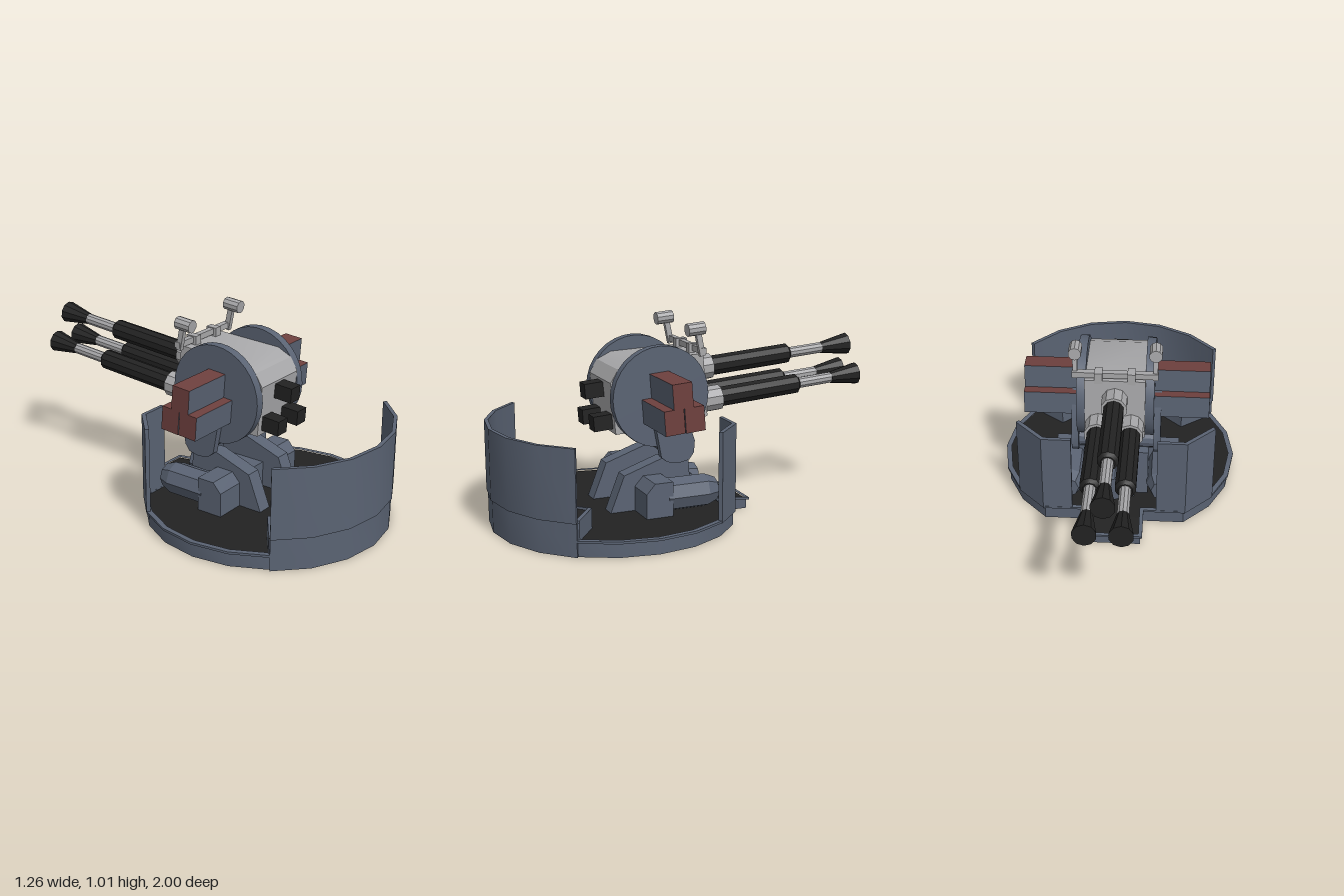
import * as THREE from 'three';
import { toCreasedNormals } from 'three/addons/utils/BufferGeometryUtils.js';

const paint = (name, hex) => Object.assign(new THREE.MeshStandardMaterial({ color: hex }), { name });

export function createModel() {
  const steel = paint('blue grey steel', 0x5a6373);
  const light = paint('light grey metal', 0xa8a8aa);
  const dark = paint('near black', 0x222222);
  const red = paint('dull red', 0x6e403e);
  const root = new THREE.Group();

  const add = (name, geo, mat, parent = root) => {
    const mesh = new THREE.Mesh(toCreasedNormals(geo, 0.5), mat);
    mesh.name = name;
    parent.add(mesh);
    return mesh;
  };
  const box = (name, w, h, d, x, y, z, mat, parent) =>
    add(name, new THREE.BoxGeometry(w, h, d).translate(x, y, z), mat, parent);
  const shapeOf = pts => new THREE.Shape(pts.map(p => new THREE.Vector2(p[0], p[1])));

  // Extrude a plan outline [x, z] upward from y0 to y1
  const plan = (pts, y0, y1, hole) => {
    const s = shapeOf(pts.map(([x, z]) => [x, -z]));
    if (hole) s.holes.push(shapeOf(hole.map(([x, z]) => [x, -z])));
    return new THREE.ExtrudeGeometry(s, { depth: y1 - y0, bevelEnabled: false })
      .rotateX(-Math.PI / 2).translate(0, y0, 0);
  };
  // Extrude a side outline [z, y] across from x0 to x1
  const side = (pts, x0, x1) =>
    new THREE.ExtrudeGeometry(shapeOf(pts.map(([z, y]) => [-z, y])), { depth: x1 - x0, bevelEnabled: false })
      .rotateY(Math.PI / 2).translate(x0, 0, 0);
  // Cylinder along z; the first radius is at the rear
  const rod = (rRear, rFront, z0, z1, sides = 10) =>
    new THREE.CylinderGeometry(rRear, rFront, z0 - z1, sides)
      .rotateX(-Math.PI / 2).translate(0, 0, (z0 + z1) / 2);

  // Twenty-sided platform outline
  const CZ = 0.36;
  const arc = (r, from, to) => {
    const pts = [];
    for (let a = from; a <= to; a += 18) {
      const t = THREE.MathUtils.degToRad(a);
      pts.push([r * Math.cos(t), CZ + r * Math.sin(t)]);
    }
    return pts;
  };
  const outline = (r, w, back) => {
    const ring = arc(r, -54, 234);
    const z = ring[0][1];
    return [...ring, [-w, z], [-w, back], [w, back], [w, z]];
  };
  // The rear step slopes gently down
  const slope = geo => {
    const p = geo.attributes.position;
    for (let i = 0; i < p.count; i++) {
      if (p.getZ(i) < -0.2 && p.getY(i) > 0.02) p.setY(i, p.getY(i) - 0.023);
    }
    geo.computeVertexNormals();
    return geo;
  };
  const inner = outline(0.605, 0.135, -0.315);
  add('platformSkirt', slope(plan(outline(0.62, 0.145, -0.325), 0, 0.072, inner)), steel);
  add('platformLip', slope(plan(outline(0.632, 0.155, -0.335), 0.07, 0.082, inner)), steel);
  add('platformFloor', slope(plan(outline(0.61, 0.14, -0.32), 0.062, 0.075)), dark);

  // Curved front shield
  const band = (r, t) => [...arc(r, 36, 144), ...arc(r - t, 36, 144).reverse()];
  add('frontShield', plan(band(0.641, 0.02), 0.165, 0.525), steel);
  add('frontShieldFoot', plan(band(0.634, 0.03), 0, 0.165), steel);

  // Curved bench behind the shield
  const half = [[0.5, 0.715], [0.34, 0.597], [0.24, 0.69], [0.14, 0.748]];
  const edge = [...half, [0, 0.773], ...half.map(([x, z]) => [-x, z]).reverse()];
  add('bench', plan([...edge, ...arc(0.62, 36, 144).reverse()], 0.07, 0.163), [dark, steel]);
  add('benchRim', plan([...edge, ...edge.map(([x, z]) => [x * 0.98, z + 0.018]).reverse()], 0.15, 0.175), steel);

  for (const s of [-1, 1]) {
    // Rear corner shields
    const corner = [[0.515, -0.01], [0.373, -0.15], [0.22, -0.15], [0.22, -0.13], [0.362, -0.13], [0.5, 0.005]];
    add('rearShield', plan(corner.map(([x, z]) => [s * x, z]), 0.07, 0.525), steel);

    // Pedestal cheeks
    const cx = s * 0.13;
    add('pedestalCheek', side([[0.44, 0.07], [0.365, 0.26], [0.16, 0.33], [0.02, 0.33], [0.0, 0.07]],
      cx - 0.04, cx + 0.04), steel);

    // Drive units beside the pedestal
    add('driveBlock', side([[0.31, 0.07], [0.31, 0.2], [0.265, 0.25], [0.17, 0.25], [0.17, 0.07]],
      s * 0.25 - 0.08, s * 0.25 + 0.08), steel);
    add('driveMotor', rod(0.06, 0.085, -0.03, -0.09, 8).translate(s * 0.25, 0.165, 0), steel);
    add('driveMotor', rod(0.085, 0.085, 0.19, -0.03, 8).translate(s * 0.25, 0.165, 0), steel);

    // Trunnion arms and side discs
    const ax = s * 0.213;
    add('trunnionArm', side([[0.24, 0.62], [0.19, 0.35], [0.16, 0.325], [0.1, 0.312], [0.04, 0.325],
      [0.015, 0.36], [0.01, 0.42], [0.09, 0.655], [0.2, 0.66]], ax - 0.018, ax + 0.018), steel);
    add('sideDisc', new THREE.CylinderGeometry(0.254, 0.254, 0.046, 32).rotateZ(Math.PI / 2)
      .translate(s * 0.173, 0.651, 0.175), steel);

    // Ammunition boxes: red tops and ends
    const ends = [s > 0 ? red : steel, s < 0 ? red : steel, red, steel, steel, steel];
    for (const [z, y, h] of [[0.182, 0.712, 0.125], [0.224, 0.588, 0.122], [0.119, 0.594, 0.122]]) {
      const crate = box('ammunitionBox', 0.285, h, 0.101, 0, 0, 0, ends);
      crate.position.set(s * 0.335, y, z);
      crate.rotation.x = 0.075;
    }

    // Sights and their brackets
    const post = box('sightPost', 0.024, 0.12, 0.028, 0, 0, 0, light);
    post.position.set(s * 0.2, 0.9, -0.03);
    post.rotation.x = 0.2;
    const head = add('sightHead', rod(0.033, 0.033, 0.045, -0.045, 10), light);
    head.position.set(s * 0.2, 0.977, -0.005);
    head.rotation.x = 0.075;
    box('sightBracket', 0.04, 0.06, 0.06, s * 0.082, 0.856, -0.045, light);
  }
  box('sightBar', 0.43, 0.03, 0.03, 0, 0.866, -0.045, light);

  // Cross shaft and block between the cheeks
  box('pedestalBlock', 0.2, 0.14, 0.3, 0, 0.14, 0.12, steel);
  add('pedestalMotor', rod(0.07, 0.09, 0.02, -0.09, 8).translate(0, 0.165, 0), steel);
  add('armShaft', new THREE.CylinderGeometry(0.05, 0.05, 0.42, 12).rotateZ(Math.PI / 2)
    .translate(0, 0.375, 0.095), steel);

  // Gun housing
  add('gunHousing', side([[0.4, 0.47], [0.425, 0.73], [0.385, 0.795], [0.31, 0.83], [-0.07, 0.842],
    [-0.095, 0.52], [0.0, 0.49]], -0.152, 0.152), light);

  // Three guns, each with a breech block at the front
  for (const [x, y, shift] of [[0, 0.737, 0.015], [-0.083, 0.588, 0], [0.083, 0.588, 0]]) {
    const gun = new THREE.Group();
    gun.name = 'gun';
    gun.position.set(x, y, -0.1 + shift);
    gun.rotation.x = 0.073;
    root.add(gun);
    add('barrelCollar', rod(0.066, 0.066, 0.06, -0.09), light, gun);
    add('barrelJacket', rod(0.052, 0.052, -0.08, -0.535), dark, gun);
    add('jacketTip', rod(0.035, 0.052, -0.535, -0.55), dark, gun);
    add('barrelTube', rod(0.029, 0.029, -0.54, -0.75), light, gun);
    add('muzzleFlare', rod(0.058, 0.03, -0.745, -0.9), dark, gun);
    box('breechBlock', 0.076, 0.076, 0.1, 0, -0.02, 0.555, dark, gun);
  }
  return root;
}
